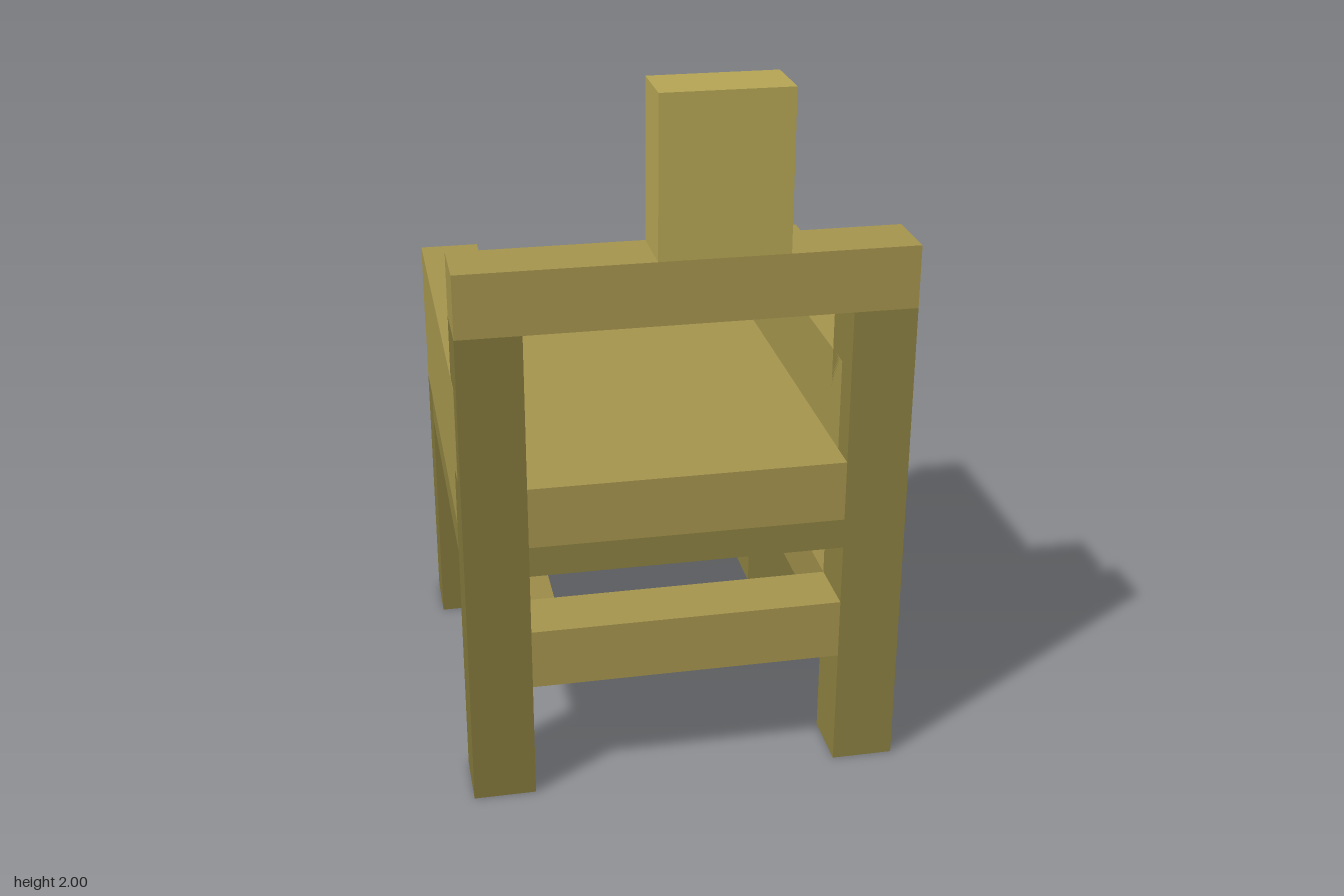
import * as THREE from 'three';

// Everything sits on a grid of 23 units over the full height
const U = 2 / 23;

export function createModel() {
  const chair = new THREE.Group();
  chair.name = 'armchair';

  const mat = (color) => new THREE.MeshStandardMaterial({ color, flatShading: true });
  const legWood = mat(0x8a7f40);
  const rightLegWood = mat(0x80753b);
  const railWood = mat(0x9b8b48);
  const seatWood = mat(0xa3934c);
  const headWood = mat(0xb3a354);

  // Box given by its extents in grid units
  function block(name, material, [x0, x1], [y0, y1], [z0, z1]) {
    const geo = new THREE.BoxGeometry((x1 - x0) * U, (y1 - y0) * U, (z1 - z0) * U);
    const mesh = new THREE.Mesh(geo, material);
    mesh.position.set((x0 + x1) / 2 * U, (y0 + y1) / 2 * U, (z0 + z1) / 2 * U);
    mesh.name = name;
    chair.add(mesh);
  }

  for (const side of [-1, 1]) {
    const label = side > 0 ? 'left' : 'right';
    const outer = side > 0 ? [5, 7] : [-7, -5];
    const wood = side > 0 ? legWood : rightLegWood;

    // Tall legs carry the back rail, short legs stop under the seat
    block(label + 'TallLeg', wood, outer, [0, 16], [5, 7]);
    block(label + 'ShortLeg', wood, outer, [0, 9], [-7, -5]);
    block(label + 'SideApron', legWood, outer, [8, 9], [-5, 5]);

    // Armrest panel, let into the tall leg and a hair proud of it
    const arm = side > 0 ? [5, 7.01] : [-7.01, -5];
    block(label + 'Armrest', seatWood, arm, [11, 14], [-7, 6]);

    // Stretchers: flush on the left, set in by one unit on the right
    block(label + 'Stretcher', railWood, side > 0 ? [5, 7] : [-6, -4], [4, 6], [-5, 5]);
  }

  // Cross stretchers and aprons
  block('tallLegStretcher', seatWood, [-5, 5], [4, 6], [5, 7]);
  block('shortLegStretcher', seatWood, [-5, 5], [4, 6], [-6, -4]);
  block('tallLegApron', legWood, [-5, 5], [8, 9], [5, 7]);
  block('shortLegApron', legWood, [-5, 5], [8, 9], [-7, -5]);

  // Seat board with a tongue between the tall legs
  block('seat', seatWood, [-7, 7], [9, 11], [-7, 5]);
  block('seatTongue', seatWood, [-5, 5], [9, 11], [5, 7]);

  // Back rail and off-centre headrest
  block('backRail', seatWood, [-7, 7], [16, 18], [5, 7]);
  block('headrest', headWood, [-1, 3], [18, 23], [5, 7]);

  return chair;
}
